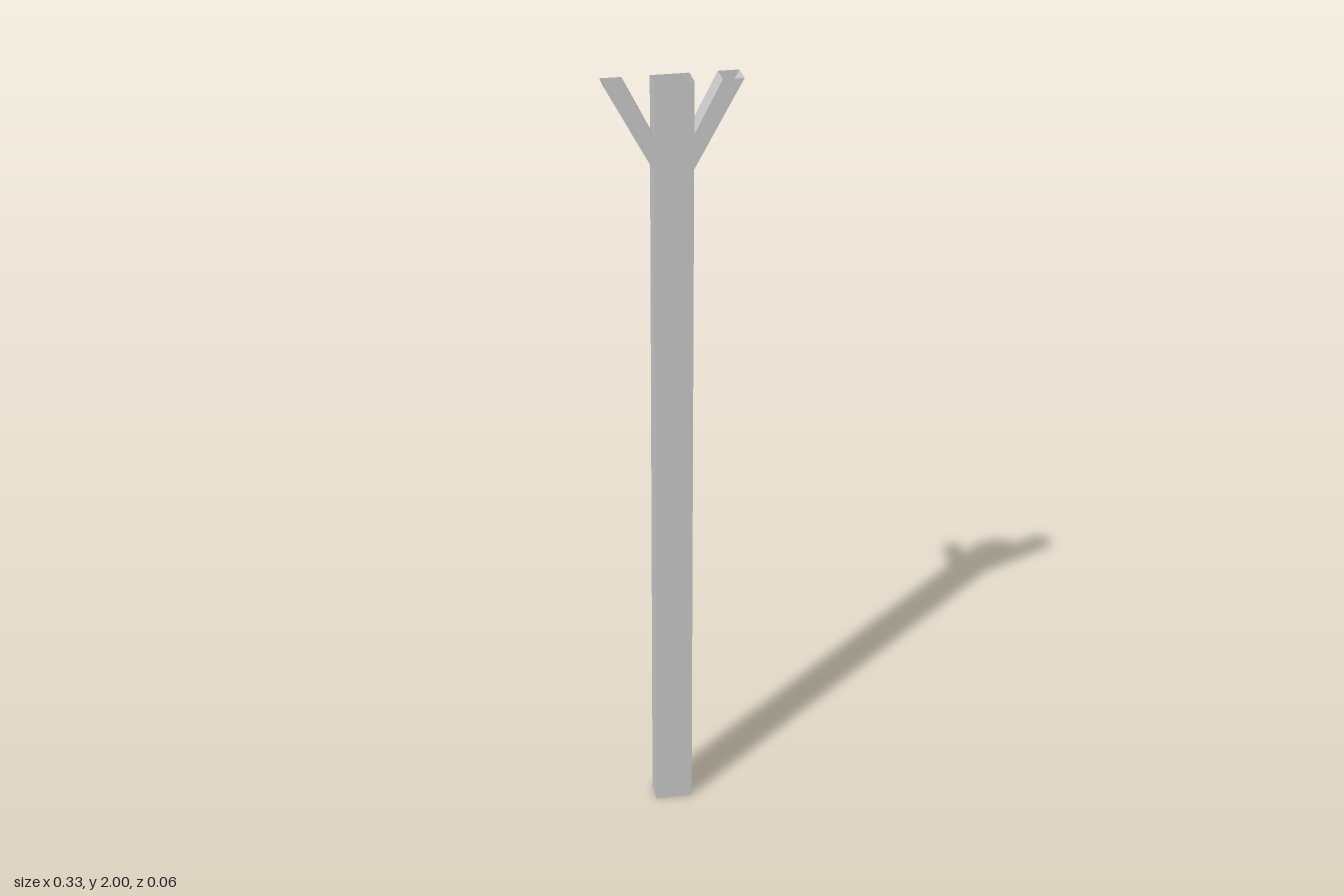
import * as THREE from 'three';

const HALF_DEPTH = 0.03;
const HALF_WIDTH = 0.0475;
const TOP = 2;

// Right half of the outline, split into the runs of wall (the gaps are open ends)
const outerRun = [[HALF_WIDTH, 0], [HALF_WIDTH, 1.78], [0.167, TOP]];
const innerRun = [[0.115, TOP], [HALF_WIDTH, 1.868], [HALF_WIDTH, TOP]];
const mirror = (run) => run.map(([x, y]) => [-x, y]).reverse();

// Open wall following a run of points, as deep as the post
function wall(run) {
  const positions = [];
  for (let i = 0; i < run.length - 1; i++) {
    const [ax, ay] = run[i];
    const [bx, by] = run[i + 1];
    const d = HALF_DEPTH;
    positions.push(ax, ay, d, ax, ay, -d, bx, by, -d);
    positions.push(ax, ay, d, bx, by, -d, bx, by, d);
  }
  const geometry = new THREE.BufferGeometry();
  geometry.setAttribute('position', new THREE.Float32BufferAttribute(positions, 3));
  geometry.computeVertexNormals();
  return geometry;
}

export function createModel() {
  const group = new THREE.Group();
  group.name = 'forkedPost';
  const material = new THREE.MeshStandardMaterial({
    color: 0xcccccc, flatShading: true, side: THREE.DoubleSide,
  });
  const add = (name, geometry) => {
    const mesh = new THREE.Mesh(geometry, material);
    mesh.name = name;
    group.add(mesh);
    return mesh;
  };

  // Front and back panels: post and both branches in one flat outline
  const right = [...outerRun, ...innerRun];
  const outline = [...right, ...mirror(right)].map(([x, y]) => new THREE.Vector2(x, y));
  const panel = new THREE.ShapeGeometry(new THREE.Shape(outline));
  add('frontPanel', panel).position.z = HALF_DEPTH;
  const back = add('backPanel', panel);
  back.position.z = -HALF_DEPTH;
  back.rotation.y = Math.PI;

  // Side walls: outside of post and branch, then the notch between them
  add('leftOuterWall', wall(outerRun));
  add('leftNotchWall', wall(innerRun));
  add('rightOuterWall', wall(mirror(outerRun)));
  add('rightNotchWall', wall(mirror(innerRun)));

  return group;
}
